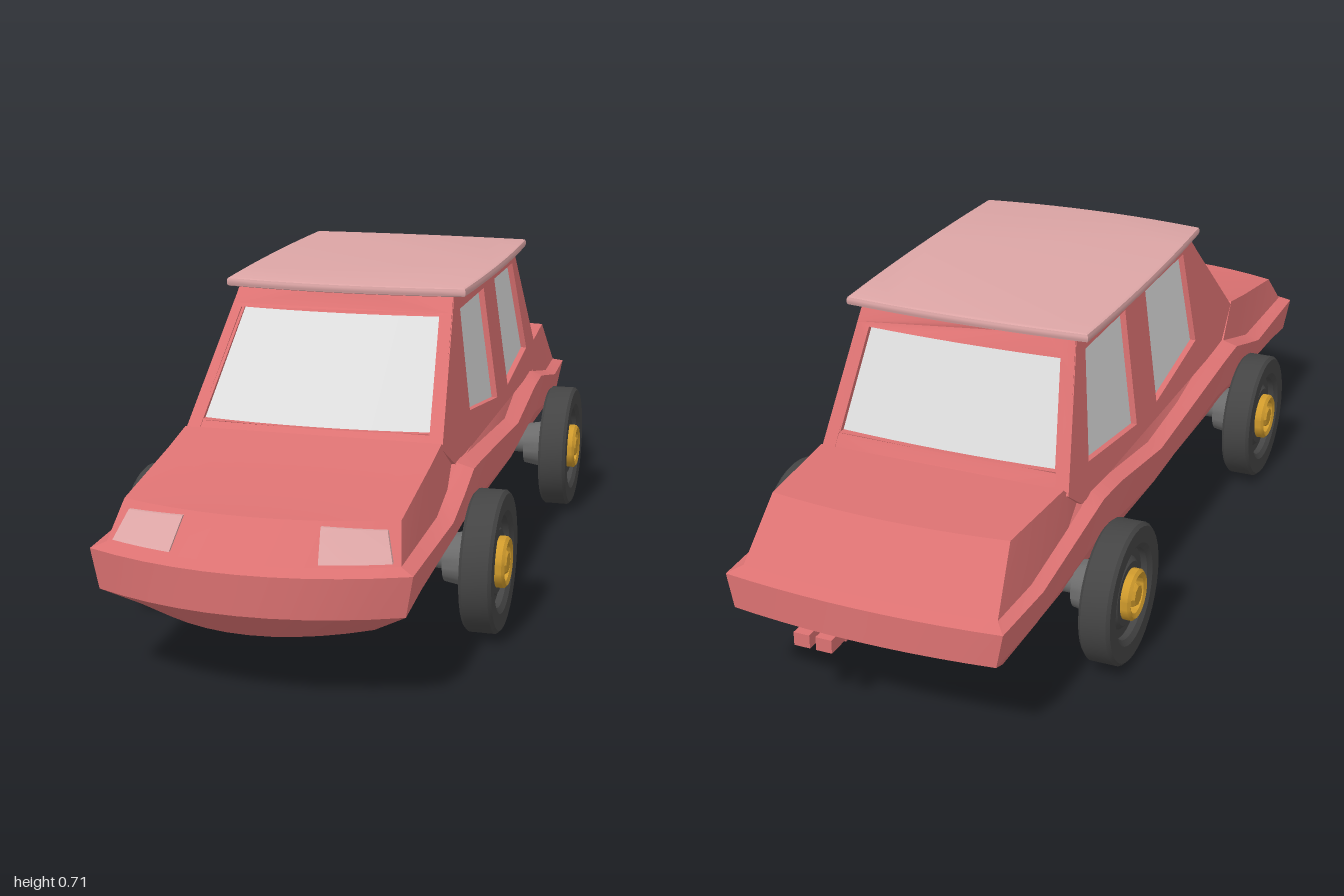
import * as THREE from 'three';
import { toCreasedNormals } from 'three/addons/utils/BufferGeometryUtils.js';

const mat = (name, color, side = THREE.FrontSide) => {
  const m = new THREE.MeshStandardMaterial({ color, side });
  m.name = name;
  return m;
};

// piecewise linear lookup; points run from high z to low z
function at(pts, z) {
  if (z >= pts[0][0]) return pts[0][1];
  for (let i = 1; i < pts.length; i++) {
    const [z0, v0] = pts[i - 1], [z1, v1] = pts[i];
    if (z >= z1) return v0 + (v1 - v0) * (z0 - z) / (z0 - z1);
  }
  return pts[pts.length - 1][1];
}

// body made of stacked plan outlines, each with bowed ends
function layeredBody(layers, stations, cols = 10) {
  const pos = [], idx = [], rows = stations.length + 2, per = rows * (cols + 1);
  for (const L of layers) {
    [L.front, ...stations, L.rear].forEach((z, j) => {
      for (let i = 0; i <= cols; i++) {
        const u = i / cols * 2 - 1;
        const bow = j === 0 ? L.bowFront : j === rows - 1 ? -L.bowRear : 0;
        pos.push(u * at(L.half, z), at(L.y, z), z + bow * (1 - u * u));
      }
    });
  }
  const id = (l, i, j) => l * per + j * (cols + 1) + i;
  const quad = (a, b, c, d) => idx.push(a, b, c, a, c, d);
  const top = layers.length - 1;
  for (let j = 0; j < rows - 1; j++) for (let i = 0; i < cols; i++) {
    quad(id(top, i, j), id(top, i, j + 1), id(top, i + 1, j + 1), id(top, i + 1, j));
    idx.splice(-6, 6, id(top, i, j), id(top, i + 1, j), id(top, i + 1, j + 1), id(top, i, j), id(top, i + 1, j + 1), id(top, i, j + 1));
    quad(id(0, i, j), id(0, i, j + 1), id(0, i + 1, j + 1), id(0, i + 1, j));
  }
  const loop = [];
  for (let i = 0; i < cols; i++) loop.push([i, 0]);
  for (let j = 0; j < rows - 1; j++) loop.push([cols, j]);
  for (let i = cols; i > 0; i--) loop.push([i, rows - 1]);
  for (let j = rows - 1; j > 0; j--) loop.push([0, j]);
  for (let l = 0; l < top; l++) loop.forEach((p, k) => {
    const q = loop[(k + 1) % loop.length];
    quad(id(l, ...p), id(l, ...q), id(l + 1, ...q), id(l + 1, ...p));
  });
  const g = new THREE.BufferGeometry();
  g.setAttribute('position', new THREE.Float32BufferAttribute(pos, 3));
  g.setIndex(idx);
  return toCreasedNormals(g, 0.3);
}

// move every vertex by a rule, then recompute normals
function remap(g, rule) {
  const p = g.attributes.position;
  for (let i = 0; i < p.count; i++) p.setXYZ(i, ...rule(p.getX(i), p.getY(i), p.getZ(i)));
  return toCreasedNormals(g, 0.4);
}

// polygon with subdivided edges, so that it can follow a curve
function poly(points, n = 1) {
  const out = [];
  points.forEach(([x, y], i) => {
    const [x1, y1] = points[(i + 1) % points.length];
    for (let k = 0; k < n; k++) out.push(new THREE.Vector2(x + (x1 - x) * k / n, y + (y1 - y) * k / n));
  });
  return out;
}

const DEPTH = 0.03;
function frameGeometry(outline, holes, n, rule) {
  const s = new THREE.Shape(poly(outline, n));
  s.holes = holes.map(h => new THREE.Path(poly(h, n)));
  return remap(new THREE.ExtrudeGeometry(s, { depth: DEPTH, bevelEnabled: false }), (a, b, d) => rule(a, b, d - DEPTH));
}
// glass corners run: bottom left, bottom right, top right, top left
function glassGeometry([p, q, r, s], rule) {
  return remap(new THREE.PlaneGeometry(1, 1, 8, 1), (a, b) => {
    const u = a + 0.5, v = b + 0.5, mix = k => (p[k] * (1 - u) + q[k] * u) * (1 - v) + (s[k] * (1 - u) + r[k] * u) * v;
    return rule(mix(0), mix(1), -0.014);
  });
}

export function createModel() {
  const red = mat('body red', 0xdc7272), pale = mat('pale pink', 0xdca5a5);
  const glass = mat('window glass', 0xdcdcdc, THREE.DoubleSide), rubber = mat('tyre black', 0x444444);
  const steel = mat('axle grey', 0x6c6c6c), gold = mat('hub gold', 0xcf9a2c);
  const car = new THREE.Group();
  car.name = 'car';
  const add = (name, geo, material, parent = car) => {
    const m = new THREE.Mesh(geo, material);
    m.name = name;
    parent.add(m);
    return m;
  };

  // hull: floor, lower edge, belt line, shoulder, hood and trunk deck
  const belt = [[0.92, 0.285], [0.6, 0.29], [0.4, 0.35], [0.3, 0.345], [-0.15, 0.31], [-0.4, 0.345], [-0.5, 0.35], [-0.8, 0.285]];
  const wide = [[0.92, 0.328], [0.5, 0.335], [-0.5, 0.325], [-1, 0.305]];
  const lower = [[0.92, 0.2], [0.8, 0.215], [0.6, 0.23], [0.3, 0.25], [-0.15, 0.225], [-0.5, 0.25], [-0.8, 0.21]];
  const deck = [[0.845, 0.368], [0.6, 0.408], [0.5, 0.428], [0.4, 0.36], [-0.55, 0.36], [-0.62, 0.418], [-0.85, 0.415]];
  const shift = (pts, d) => pts.map(([z, v]) => [z, v + d]);
  add('hull', layeredBody([
    { y: [[0, 0.137]], half: [[0.84, 0.23], [0.6, 0.255], [-0.8, 0.25]], front: 0.84, rear: -0.86, bowFront: 0.09, bowRear: 0.02 },
    { y: lower, half: shift(wide, -0.015), front: 0.92, rear: -0.98, bowFront: 0.075, bowRear: 0.02 },
    { y: belt, half: wide, front: 0.925, rear: -0.98, bowFront: 0.075, bowRear: 0.02 },
    { y: shift(belt, 0.01), half: [[0.92, 0.3], [-0.6, 0.293], [-1, 0.28]], front: 0.905, rear: -0.95, bowFront: 0.065, bowRear: 0.02 },
    { y: deck, half: [[0.85, 0.285], [-0.6, 0.283], [-0.85, 0.265]], front: 0.845, rear: -0.85, bowFront: 0.055, bowRear: 0.02 },
  ], [0.8, 0.6, 0.5, 0.4, 0.3, 0.05, -0.15, -0.4, -0.5, -0.55, -0.62, -0.8]), red);

  // cabin sides with two windows each
  const half = y => 0.295 - 0.136 * (y - 0.35);
  const sideRule = (a, b, d) => [half(b) + d, b, -a];
  const sideOutline = [[-0.4, 0.355], [0.55, 0.355], [0.61, 0.4], [0.47, 0.695], [-0.225, 0.695], [-0.5, 0.415]];
  const sideWindows = [
    [[-0.213, 0.43], [0.08, 0.39], [0.073, 0.655], [-0.19, 0.655]],
    [[0.21, 0.39], [0.49, 0.425], [0.435, 0.655], [0.2, 0.655]],
  ];
  for (const side of [1, -1]) {
    add('cabinSide', frameGeometry(sideOutline, sideWindows, 1, sideRule), red).scale.x = side;
    for (const w of sideWindows) add('sideWindow', glassGeometry(w, sideRule), glass).scale.x = side;
  }

  // windscreen and rear window with their frames
  const curve = x => 1 - (x / 0.28) ** 2;
  const frontRule = (x, y, d) => [x, y, 0.225 + (0.695 - y) * 0.96 + 0.025 * curve(x) + d];
  const rearRule = (a, y, d) => [-a, y, -0.47 - (0.695 - y) * 0.464 - 0.012 * curve(a) - d];
  const endOutline = [[-0.284, 0.4], [0.284, 0.4], [0.247, 0.695], [-0.247, 0.695]];
  const screen = [[-0.26, 0.44], [0.26, 0.44], [0.23, 0.652], [-0.23, 0.652]];
  const rearPane = [[-0.25, 0.44], [0.25, 0.44], [0.222, 0.652], [-0.222, 0.652]];
  add('windscreenFrame', frameGeometry(endOutline, [screen], 8, frontRule), red);
  add('windscreen', glassGeometry(screen, frontRule), glass);
  add('rearWindowFrame', frameGeometry(endOutline, [rearPane], 8, rearRule), red);
  add('rearWindow', glassGeometry(rearPane, rearRule), glass);

  // overhanging roof slab with bowed edges
  const roof = new THREE.Shape();
  roof.moveTo(-0.27, -0.235);
  roof.quadraticCurveTo(0, -0.28, 0.27, -0.235);
  roof.quadraticCurveTo(0.288, 0.13, 0.273, 0.48);
  roof.quadraticCurveTo(0, 0.502, -0.273, 0.48);
  roof.quadraticCurveTo(-0.288, 0.13, -0.27, -0.235);
  const roofGeo = new THREE.ExtrudeGeometry(roof, { depth: 0.008, bevelThickness: 0.006, bevelSize: 0.006, bevelSegments: 2, curveSegments: 10 });
  add('roof', remap(roofGeo, (x, y, d) => [x, 0.696 + d, -y]).rotateY(0), pale);

  // headlights lying on the sloped nose
  const lamp = new THREE.Shape(poly([[0.15, 0.302], [0.285, 0.302], [0.265, 0.354], [0.14, 0.36]], 4));
  const lampRule = (x, y, d) => {
    const v = (y - 0.295) / 0.073, w = 1 - (x / (0.3 - 0.015 * v)) ** 2;
    return [x, y, 0.905 - 0.06 * v + (0.065 - 0.01 * v) * w + d];
  };
  for (const side of [1, -1]) {
    const g = new THREE.ExtrudeGeometry(lamp, { depth: 0.008, bevelEnabled: false });
    add('headlight', remap(g, lampRule), pale).scale.x = side;
  }

  // twin exhaust tips
  for (const x of [0.085, 0.135]) {
    add('exhaustTip', new THREE.BoxGeometry(0.036, 0.03, 0.1), red).position.set(x, 0.172, -0.935);
    const pipe = add('exhaustPipe', new THREE.BoxGeometry(0.025, 0.022, 0.1), red);
    pipe.position.set(x, 0.165, -0.87);
    pipe.rotation.x = -0.2;
  }

  // wheels and axles; wheel profiles are turned about the x axis
  const turned = (pts, n = 36) => toCreasedNormals(
    new THREE.LatheGeometry(pts.map(p => new THREE.Vector2(...p)), n).rotateZ(-Math.PI / 2), 0.5);
  const tyreGeo = turned([[0.1, -0.028], [0.112, -0.034], [0.148, -0.035], [0.155, -0.028], [0.155, 0.028], [0.148, 0.035], [0.112, 0.034], [0.1, 0.026], [0.1, -0.028]]);
  const discGeo = turned([[0, -0.014], [0.103, -0.014], [0.103, 0.012], [0.08, 0.012], [0.07, 0.022], [0, 0.022]]);
  const ringGeo = turned([[0.04, 0.01], [0.056, 0.01], [0.056, 0.038], [0.05, 0.044], [0.04, 0.04], [0.04, 0.01]]);
  const capGeo = turned([[0, 0.01], [0.028, 0.01], [0.028, 0.036], [0.022, 0.043], [0, 0.043]], 8);
  const driveGeo = turned([[0, -0.092], [0.052, -0.092], [0.063, -0.03], [0.063, -0.005], [0, -0.005]]);
  for (const z of [0.43, -0.535]) {
    const axle = add('axle', new THREE.CylinderGeometry(0.026, 0.026, 0.62, 16).rotateZ(Math.PI / 2), steel);
    axle.position.set(0, 0.157, z);
    for (const side of [1, -1]) {
      const wheel = new THREE.Group();
      wheel.name = 'wheel';
      wheel.position.set(side * 0.375, 0.156, z);
      if (side < 0) wheel.rotation.y = Math.PI;
      add('tyre', tyreGeo, rubber, wheel);
      add('wheelDisc', discGeo, rubber, wheel);
      add('hubRing', ringGeo, gold, wheel);
      add('hubCap', capGeo, gold, wheel);
      add('innerHub', driveGeo, steel, wheel);
      car.add(wheel);
    }
  }
  return car;
}
